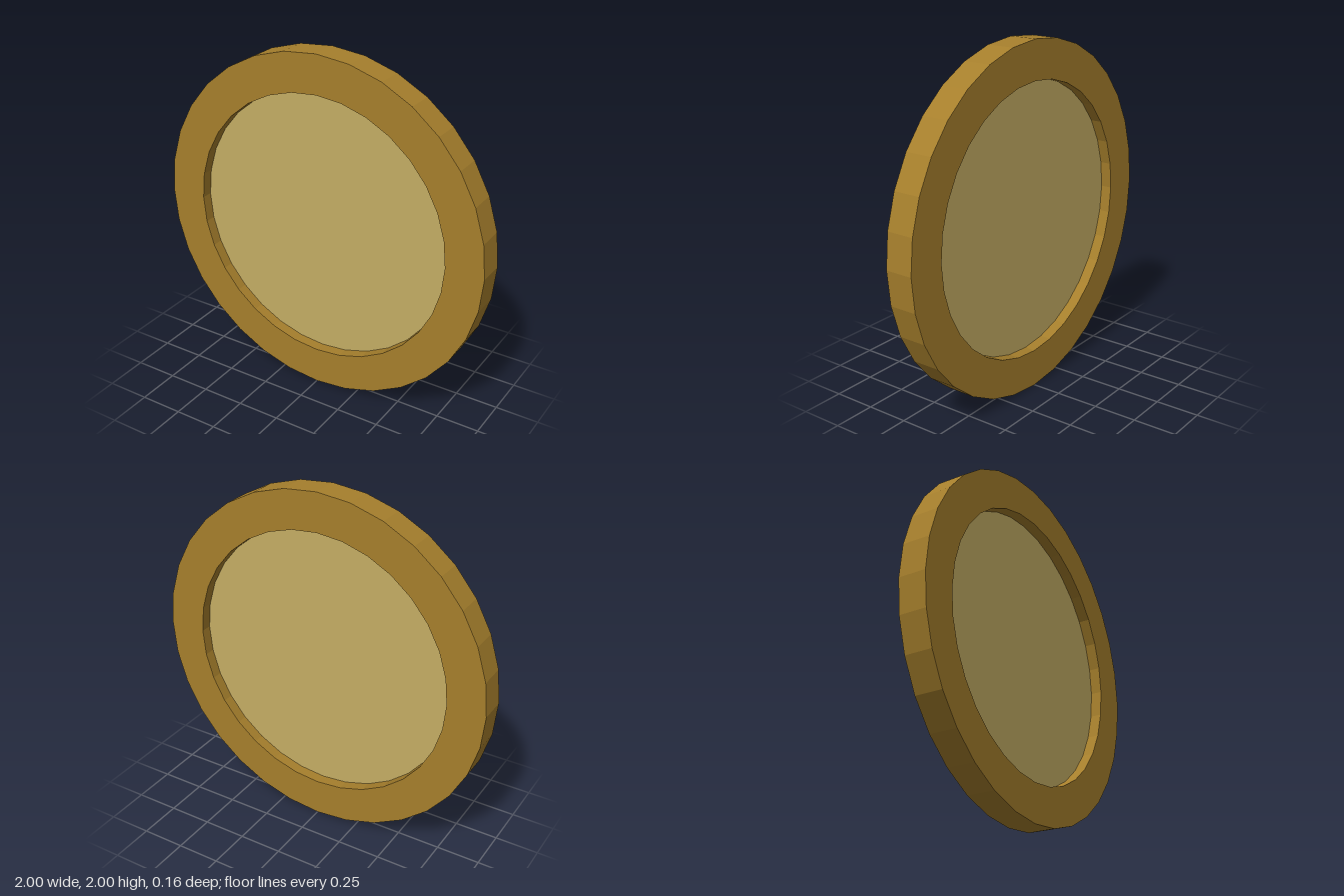
import * as THREE from 'three';

const SIDES = 32;
const OUTER = 1, INNER = 0.78, DEPTH = 0.16, PLATE = 0.03;

// 32-sided outline, with a corner on each axis
function polygon(radius) {
  return Array.from({ length: SIDES }, (_, i) => {
    const a = (i / SIDES) * Math.PI * 2;
    return new THREE.Vector2(Math.cos(a) * radius, Math.sin(a) * radius);
  });
}

export function createModel() {
  const model = new THREE.Group();
  model.name = 'disc';

  // Thick faceted rim with a round opening
  const ring = new THREE.Shape(polygon(OUTER));
  ring.holes.push(new THREE.Path(polygon(INNER).reverse()));
  const rimGeometry = new THREE.ExtrudeGeometry(ring, { depth: DEPTH, bevelEnabled: false });
  rimGeometry.translate(0, 0, -DEPTH / 2);
  const rim = new THREE.Mesh(rimGeometry,
    new THREE.MeshStandardMaterial({ color: 0xa67f2c, flatShading: true }));
  rim.name = 'rim';

  // Thin plate recessed equally on both faces
  const plateGeometry = new THREE.CylinderGeometry(INNER, INNER, PLATE, SIDES);
  plateGeometry.rotateX(Math.PI / 2);
  const plate = new THREE.Mesh(plateGeometry,
    new THREE.MeshStandardMaterial({ color: 0xc4ad64, flatShading: true }));
  plate.name = 'plate';

  model.add(rim, plate);
  model.children.forEach((part) => { part.position.y = OUTER; });
  return model;
}
